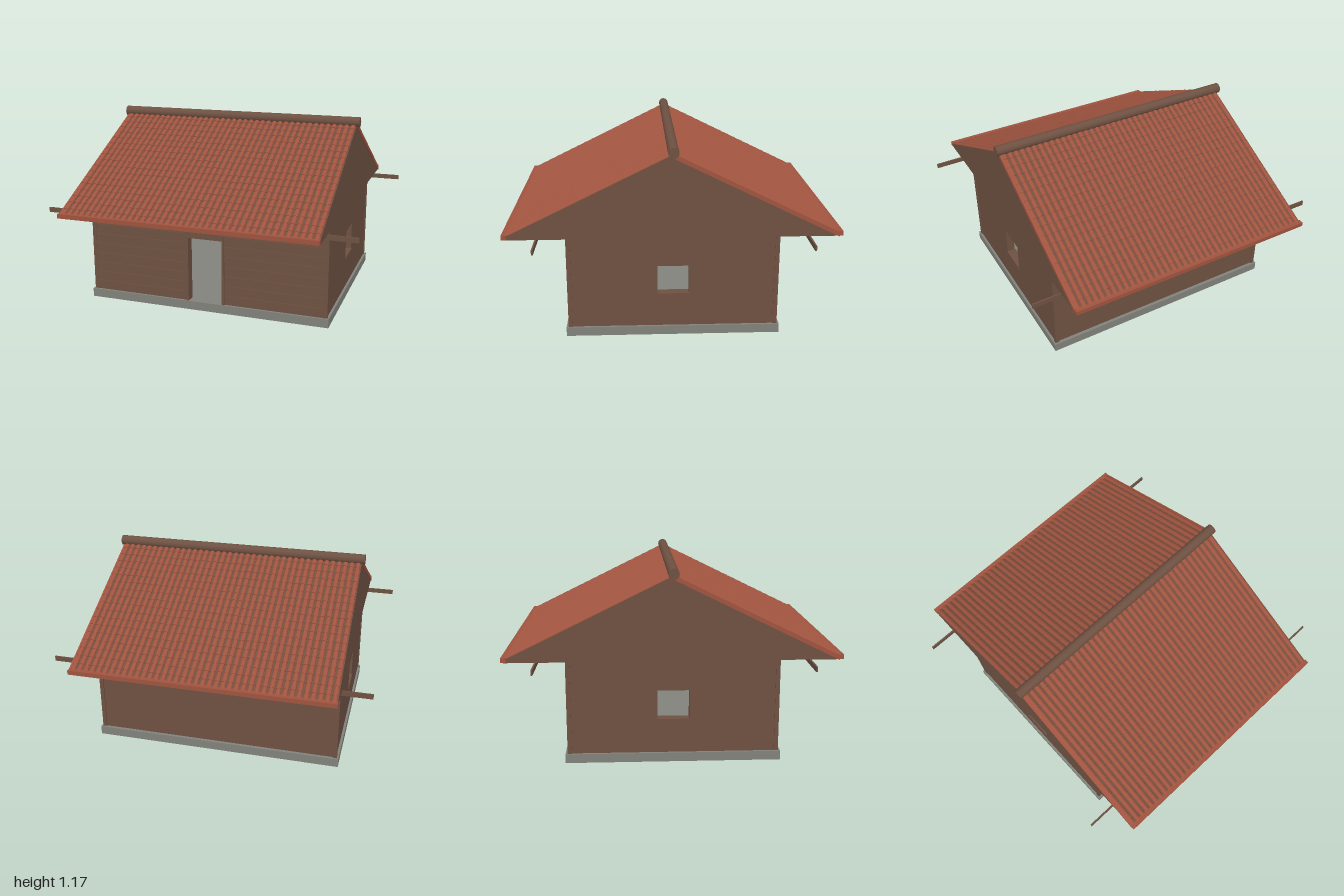
import * as THREE from 'three';
import { mergeGeometries } from 'three/addons/utils/BufferGeometryUtils.js';

export function createModel() {
  const model = new THREE.Group();
  model.name = 'house';
  const material = (name, color) => {
    const m = new THREE.MeshStandardMaterial({ color });
    m.name = name;
    return m;
  };
  const wood = material('brown wood', 0x6e5142);
  const tileRed = material('red clay', 0xa0543f);
  const stone = material('grey stone', 0x82827c);

  const add = (name, geometry, mat, parent = model) => {
    const mesh = new THREE.Mesh(geometry, mat);
    mesh.name = name;
    parent.add(mesh);
    return mesh;
  };
  // box given by its limits on each axis
  const box = (name, mat, x0, x1, y0, y1, z0, z1, parent = model) => {
    const mesh = add(name, new THREE.BoxGeometry(x1 - x0, y1 - y0, z1 - z0), mat, parent);
    mesh.position.set((x0 + x1) / 2, (y0 + y1) / 2, (z0 + z1) / 2);
    return mesh;
  };
  const polygon = (points) => new THREE.Shape(points.map(([x, y]) => new THREE.Vector2(x, y)));
  const extrude = (shape, depth) => new THREE.ExtrudeGeometry(shape, { depth, bevelEnabled: false });

  const floorY = 0.055, wallTop = 0.627;
  box('foundation', stone, -0.785, 0.785, 0, floorY, -0.645, 0.645);

  // Back wall, and front wall with the doorway cut out
  box('backWall', wood, -0.72, 0.72, floorY, wallTop, -0.625, -0.585);
  const front = polygon([
    [-0.72, floorY], [-0.11, floorY], [-0.11, 0.47], [0.11, 0.47],
    [0.11, floorY], [0.72, floorY], [0.72, wallTop], [-0.72, wallTop],
  ]);
  add('frontWall', extrude(front, 0.04), wood).position.z = 0.585;

  // Side walls with a window each, sills and corner posts
  for (const side of [-1, 1]) {
    const shape = polygon([[-0.625, floorY], [0.625, floorY], [0.625, wallTop], [-0.625, wallTop]]);
    shape.holes.push(polygon([[-0.095, 0.25], [-0.095, 0.44], [0.095, 0.44], [0.095, 0.25]]));
    const wall = add('sideWall', extrude(shape, 0.05), wood);
    wall.rotation.y = Math.PI / 2;
    wall.position.x = side > 0 ? 0.72 : -0.77;
    const sill = box('windowSill', wood, -0.03, 0.03, 0.245, 0.265, -0.095, 0.095);
    sill.position.x = side * 0.745;
    for (const end of [-1, 1]) {
      const post = box('cornerPost', wood, -0.0125, 0.0125, floorY, wallTop, -0.0125, 0.0125);
      post.position.x = side * 0.7625;
      post.position.z = end * 0.62;
    }
  }

  // Horizontal boards on both sides of the door, with narrow grooves
  const boards = 9, pitch = (wallTop - floorY) / boards;
  for (let i = 0; i < boards; i++) {
    const y0 = floorY + i * pitch, y1 = y0 + pitch - 0.005;
    if (y0 > 0.49) {
      box('frontBoard', wood, -0.75, 0.75, y0, y1, 0.62, 0.631);
    } else {
      box('frontBoard', wood, -0.75, -0.115, y0, y1, 0.62, 0.631);
      box('frontBoard', wood, 0.115, 0.75, y0, y1, 0.62, 0.631);
    }
  }

  // Door frame with a wider head
  const door = new THREE.Group();
  door.name = 'doorFrame';
  model.add(door);
  for (const s of [-1, 1]) {
    box('doorJamb', wood, -0.0075, 0.0075, floorY, 0.47, 0.58, 0.641, door).position.x = s * 0.1175;
  }
  const head = polygon([
    [-0.125, 0.47], [0.125, 0.47], [0.125, 0.495], [0.145, 0.505],
    [0.145, 0.52], [-0.145, 0.52], [-0.145, 0.505], [-0.125, 0.495],
  ]);
  add('doorHead', extrude(head, 0.024), wood, door).position.z = 0.621;

  // Bench along the back wall
  box('benchSeat', wood, -0.5, 0.5, 0.23, 0.26, -0.585, -0.42);
  box('benchApron', wood, -0.48, 0.48, 0.1, 0.2, -0.58, -0.44);

  // Roof body with closed gables and a flat underside
  const apex = 1.125, eaveZ = 0.985, eaveY = 0.64;
  const gable = polygon([
    [-eaveZ, 0.625], [eaveZ, 0.625], [eaveZ, eaveY], [0, apex], [-eaveZ, eaveY],
  ]);
  const roof = add('roofBody', extrude(gable, 1.59), wood);
  roof.rotation.y = Math.PI / 2;
  roof.position.x = -0.795;

  // Half-round tiles in stepped rows
  const slope = Math.atan2(apex - eaveY, eaveZ);
  const length = Math.hypot(apex - eaveY, eaveZ);
  const rows = 18, columns = 40, rowPitch = length / rows, colPitch = 1.59 / columns;
  const tile = new THREE.CylinderGeometry(0.0135, 0.017, rowPitch + 0.004, 6, 1, false, -Math.PI / 2, Math.PI);
  tile.rotateX(-Math.PI / 2).scale(1, 0.75, 1);
  const tiles = [];
  for (let r = 0; r < rows; r++) {
    for (let c = 0; c < columns; c++) {
      tiles.push(tile.clone().translate(-0.795 + (c + 0.5) * colPitch, 0, (r + 0.5) * rowPitch));
    }
  }
  const tileField = mergeGeometries(tiles);
  for (const turn of [0, Math.PI]) {
    const half = new THREE.Group();
    half.name = 'roofSlope';
    half.rotation.y = turn;
    model.add(half);
    const plane = new THREE.Group();
    plane.name = 'tiledPlane';
    plane.position.y = apex;
    plane.rotation.x = slope;
    half.add(plane);
    add('roofTiles', tileField, tileRed, plane);
    box('edgeTile', tileRed, -0.8, -0.785, -0.02, 0.005, 0.02, length, plane);
    box('eaveTiles', tileRed, -0.798, 0.798, 0.628, 0.655, 0.97, 1, half);
    box('eavePole', wood, -0.975, 0.975, 0.6, 0.63, 0.795, 0.805, half);
  }

  // Round ridge beam
  const ridge = add('ridgeBeam', new THREE.CylinderGeometry(0.033, 0.033, 1.63, 12), wood);
  ridge.rotation.z = Math.PI / 2;
  ridge.position.y = 1.137;

  return model;
}
